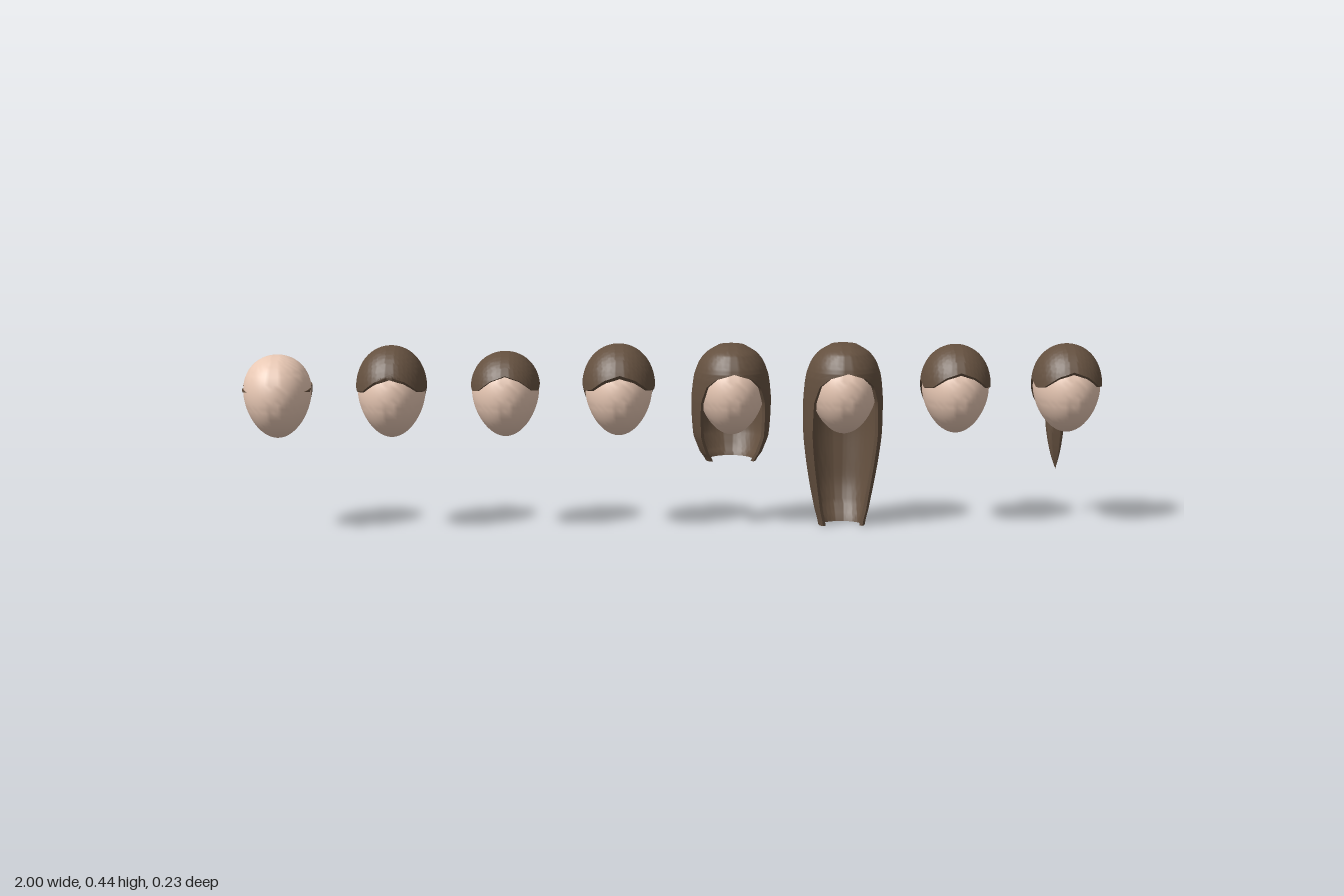
import * as THREE from 'three';
import { toCreasedNormals } from 'three/addons/utils/BufferGeometryUtils.js';

const skin = new THREE.MeshStandardMaterial({ color: 0xe8c8b4 });
const hair = new THREE.MeshStandardMaterial({ color: 0x64503f, side: THREE.DoubleSide });
const CY = 0.3185, CZ = 0.022, RX = 0.077, RY = 0.0965, RZ = 0.092;
const rad = THREE.MathUtils.degToRad;

// Point on the egg-shaped skull, grown by t (sides) and top (crown)
function eggPoint(phi, theta, t = 0, top = 0) {
  const c = Math.cos(phi), s = Math.sin(phi);
  return [
    (RX + t) * s * (1 + 0.15 * c) * Math.sin(theta),
    CY + (RY + (c > 0 ? top : t)) * c,
    CZ + (RZ + t) * s * Math.cos(theta),
  ];
}

// Surface through rows of points, top row first
function surface(rows, smooth = true) {
  const n = rows[0].length, index = [];
  for (let r = 0; r < rows.length - 1; r++) {
    for (let c = 0; c < n - 1; c++) {
      const a = r * n + c, d = a + n;
      index.push(a, d, d + 1, a, d + 1, a + 1);
    }
  }
  const geo = new THREE.BufferGeometry();
  geo.setAttribute('position', new THREE.Float32BufferAttribute(rows.flat(2), 3));
  geo.setIndex(index);
  return toCreasedNormals(geo, smooth ? 1.0 : 0.5);
}

function part(name, geo, material) {
  const m = new THREE.Mesh(geo, material);
  m.name = name;
  return m;
}

// Hairline height by angle from the front: fringe, temple, ear arch, nape
const HAIRLINE = [[0, 0.372], [25, 0.36], [50, 0.336], [72, 0.332], [82, 0.342], [90, 0.346],
  [98, 0.341], [106, 0.326], [115, 0.297], [128, 0.277], [150, 0.27], [180, 0.268]];
function hairline(theta) {
  const d = Math.abs(THREE.MathUtils.radToDeg(theta > Math.PI ? theta - 2 * Math.PI : theta));
  let i = 0;
  while (i < HAIRLINE.length - 2 && d > HAIRLINE[i + 1][0]) i++;
  const [a, ya] = HAIRLINE[i], [b, yb] = HAIRLINE[i + 1];
  return ya + (yb - ya) * Math.min(1, (d - a) / (b - a));
}

// Short hair shell with a rim turned in to the skull; cut limits it to the lower back band
function capGeometry(t, top, cut) {
  const N = 120, M = 24, rows = [];
  const angle = (y) => Math.acos((y - CY) / (RY + (y > CY ? top : t)));
  for (let r = -1; r <= M + 1; r++) {
    const row = [];
    for (let c = 0; c <= N; c++) {
      const theta = (c / N) * 2 * Math.PI;
      const end = angle(hairline(theta));
      const start = cut ? Math.min(end, angle(0.342 - 0.012 * Math.cos(theta))) : 0;
      const k = THREE.MathUtils.clamp(r / M, 0, 1);
      const phi = start + (end - start) * k;
      const buried = r > M || (cut && (r < 0 || end - start < 1e-4));
      row.push(buried ? eggPoint(phi, theta, -0.003, -0.003) : eggPoint(phi, theta, t, top));
    }
    rows.push(row);
  }
  return surface(rows);
}

// Long hair sections: height, half width, centre z, half depth, half opening in degrees
const CROWN = [[0.437, 0, 0.022, 0, 0], [0.432, 0.03, 0.022, 0.035, 0], [0.415, 0.058, 0.022, 0.068, 0],
  [0.395, 0.074, 0.02, 0.085, 0], [0.373, 0.083, 0.018, 0.097, 0], [0.36, 0.087, 0.017, 0.099, 28],
  [0.34, 0.09, 0.016, 0.1, 44], [0.3, 0.093, 0.013, 0.1, 53]];
const BOB = [[0.22, 0.088, 0.01, 0.094, 56], [0.18, 0.073, 0.01, 0.078, 57], [0.16, 0.06, 0.01, 0.066, 58]];
const LONG = [[0.22, 0.092, 0.01, 0.098, 56], [0.15, 0.084, 0.005, 0.087, 56], [0.09, 0.074, 0.002, 0.077, 56],
  [0.04, 0.064, 0.005, 0.063, 58], [0.002, 0.055, 0.01, 0.046, 58]];

// Double-walled curtain of hair, open at the face
function curtainGeometry(keys) {
  const N = 72, STEP = 4, rows = [];
  const section = (k) => {
    const i = Math.min(Math.floor(k), keys.length - 2), f = k - i;
    return keys[0].map((_, j) => {
      const p = (n) => keys[THREE.MathUtils.clamp(n, 0, keys.length - 1)][j];
      const a = p(i), b = p(i + 1), m0 = (b - p(i - 1)) / 2, m1 = (p(i + 2) - a) / 2;
      if (j === 0 || j === 4) return a + (b - a) * f;
      return a + m0 * f + (3 * (b - a) - 2 * m0 - m1) * f * f + (2 * (a - b) + m0 + m1) * f ** 3;
    });
  };
  const ring = (s, thickness) => {
    const [y, w, z, d, open] = s, o = rad(open), row = [];
    const add = (c, inset) => {
      const th = o + (c / N) * 2 * (Math.PI - o);
      row.push([Math.max(0, w - inset) * Math.sin(th), y, z + Math.max(0, d - inset) * Math.cos(th)]);
    };
    for (let c = 0; c <= N; c++) add(c, 0);
    for (let c = N; c >= 0; c--) add(c, thickness);
    add(0, 0);
    return row;
  };
  const last = (keys.length - 1) * STEP;
  for (let r = 0; r <= last; r++) rows.push(ring(section(r / STEP), 0.008));
  rows.push(ring(keys[keys.length - 1], 0)); // closes the lower edge
  return surface(rows);
}

// Ponytail: ellipses along a drooping path (y, z, half width, half depth)
function ponytailGeometry() {
  const keys = [[0.362, -0.066, 0.003, 0.004], [0.352, -0.074, 0.011, 0.01], [0.335, -0.085, 0.018, 0.014],
    [0.3, -0.096, 0.023, 0.018], [0.25, -0.1, 0.024, 0.019], [0.2, -0.096, 0.02, 0.017],
    [0.15, -0.088, 0.011, 0.01], [0.115, -0.08, 0, 0]];
  const path = new THREE.CatmullRomCurve3(keys.map(([y, z, w]) => new THREE.Vector3(w, y, z)));
  const depth = new THREE.CatmullRomCurve3(keys.map(([y, z, , d]) => new THREE.Vector3(d, y, z)));
  const rows = [];
  for (let r = 0; r <= 28; r++) {
    const p = path.getPoint(r / 28), d = Math.max(0, depth.getPoint(r / 28).x), row = [];
    for (let c = 0; c <= 24; c++) {
      const a = (c / 24) * 2 * Math.PI;
      row.push([Math.max(0, p.x) * Math.sin(a), p.y, p.z + d * Math.cos(a)]);
    }
    rows.push(row);
  }
  return surface(rows);
}

// Coiled bun on the upper back of the head
function makeBun() {
  const bun = new THREE.Group();
  bun.name = 'bun';
  bun.add(part('bunCoil', new THREE.TorusGeometry(0.02, 0.013, 14, 36), hair));
  const core = part('bunCore', new THREE.SphereGeometry(0.016, 20, 14), hair);
  core.position.z = -0.008;
  bun.add(core);
  bun.position.set(0, 0.388, -0.064);
  bun.rotation.x = 0.6;
  return bun;
}

function headGeometry() {
  const rows = [];
  for (let r = 0; r <= 32; r++) {
    const row = [];
    for (let c = 0; c <= 48; c++) row.push(eggPoint((r / 32) * Math.PI, (c / 48) * 2 * Math.PI));
    rows.push(row);
  }
  return surface(rows);
}

export function createModel() {
  const model = new THREE.Group();
  model.name = 'hairstyleHeads';
  const head = headGeometry();
  const cap = (t, top, cut) => part(cut ? 'backHair' : 'hairCap', capGeometry(t, top, cut), hair);
  const styles = [
    ['underHatHair', () => [cap(0.003, 0.003, true)]],
    ['fullShortHair', () => [cap(0.004, 0.02)]],
    ['closeCroppedHair', () => [cap(0.0025, 0.005)]],
    ['thickShortHair', () => [cap(0.007, 0.021)]],
    ['bobHair', () => [part('hairCurtain', curtainGeometry([...CROWN, ...BOB]), hair)]],
    ['longHair', () => [part('hairCurtain', curtainGeometry([...CROWN, ...LONG]), hair)]],
    ['bunHair', () => [cap(0.004, 0.015), makeBun()]],
    ['ponytailHair', () => [cap(0.004, 0.015), part('ponytail', ponytailGeometry(), hair)]],
  ];
  // Row of heads, one per hairstyle
  styles.forEach(([name, build], i) => {
    const figure = new THREE.Group();
    figure.name = name;
    figure.add(part('head', head, skin), ...build());
    figure.position.x = -0.92 + i * (1.84 / 7);
    model.add(figure);
  });
  return model;
}
